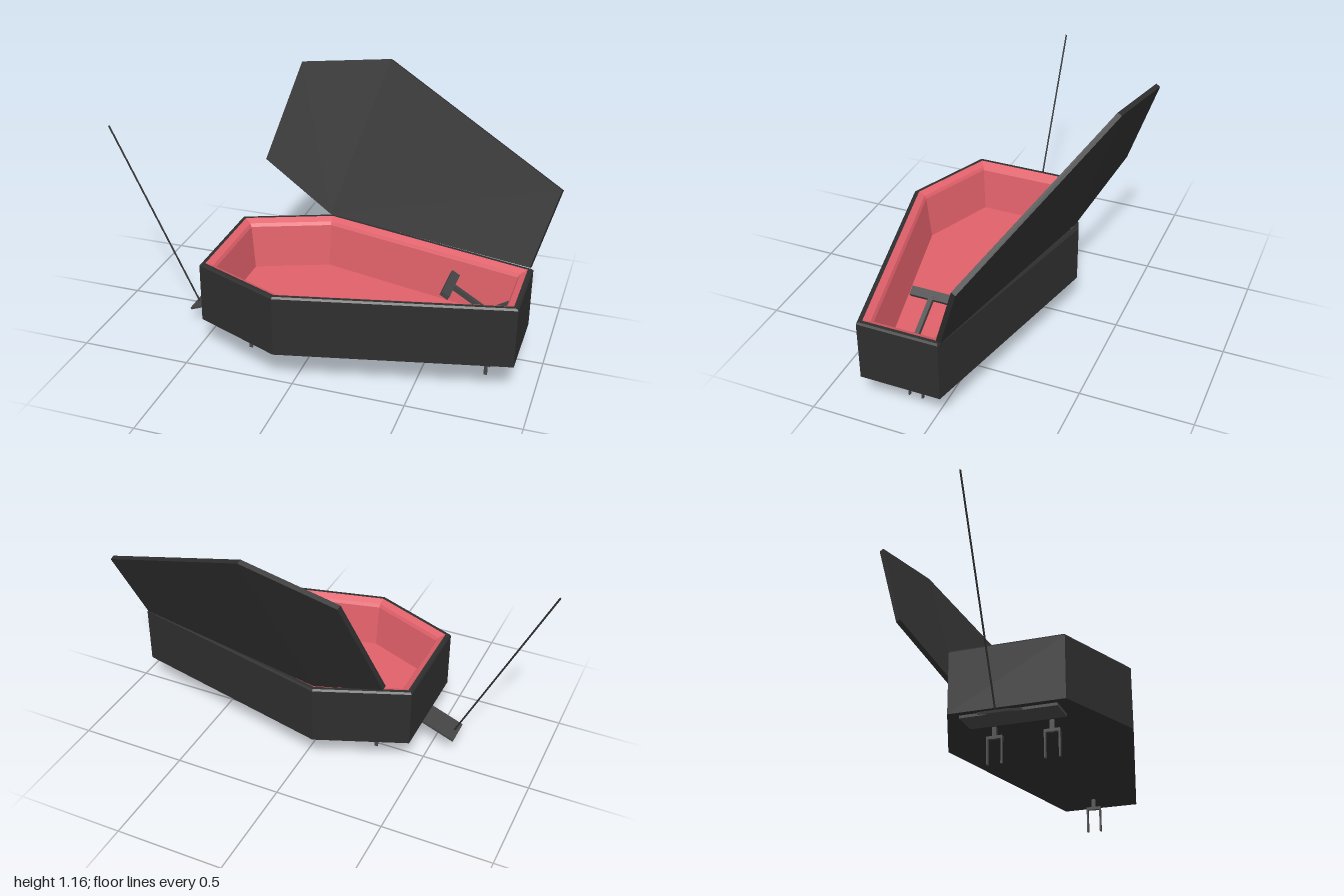
import * as THREE from 'three';

const V = (x, y, z) => new THREE.Vector3(x, y, z);
const mat = (color) => new THREE.MeshStandardMaterial({ color, side: THREE.DoubleSide });

// Flat-faced skin through a list of rings; caps are fans from the first point
function loft(rings, capStart, capEnd) {
  const pts = [];
  const n = rings[0].length;
  for (let r = 0; r < rings.length - 1; r++) {
    const a = rings[r], b = rings[r + 1];
    for (let i = 0; i < n; i++) {
      const j = (i + 1) % n;
      pts.push(a[i], b[i], a[j], a[j], b[i], b[j]);
    }
  }
  const first = rings[0], last = rings[rings.length - 1];
  for (let i = 1; i < n - 1; i++) {
    if (capStart) pts.push(first[0], first[i], first[i + 1]);
    if (capEnd) pts.push(last[0], last[i + 1], last[i]);
  }
  const g = new THREE.BufferGeometry().setFromPoints(pts);
  g.computeVertexNormals();
  return g;
}

// Six-sided footprint (x, z), moved inward by t at height y
const outline = [[-0.47, -0.12], [-0.07, -0.28], [0.915, -0.05], [0.915, 0.31], [-0.07, 0.542], [-0.47, 0.375]];
function ring(t, y) {
  const n = outline.length;
  const normal = (i) => {
    const p = outline[i % n], q = outline[(i + 1) % n];
    return new THREE.Vector2(p[1] - q[1], q[0] - p[0]).normalize();
  };
  return outline.map(([x, z], i) => {
    const a = normal(i + n - 1), b = normal(i);
    const k = t / (1 + a.dot(b));
    return V(x + (a.x + b.x) * k, y, z + (a.y + b.y) * k);
  });
}

export function createModel() {
  const model = new THREE.Group();
  const black = mat(0x2e2e2e), metal = mat(0x444444), red = mat(0xe0606a);

  const add = (name, geometry, material, parent = model) => {
    const mesh = new THREE.Mesh(geometry, material);
    mesh.name = name;
    parent.add(mesh);
    return mesh;
  };
  const box = (name, size, pos, parent = model, material = metal) => {
    const mesh = add(name, new THREE.BoxGeometry(...size), material, parent);
    mesh.position.set(...pos);
    return mesh;
  };
  // Flat plate in the xy plane from a to b, with thickness t and depth d along z
  const plate = (name, a, b, t, d, z) => {
    const dx = b[0] - a[0], dy = b[1] - a[1];
    const mesh = box(name, [Math.hypot(dx, dy), t, d], [(a[0] + b[0]) / 2, (a[1] + b[1]) / 2, z]);
    mesh.rotation.z = Math.atan2(dy, dx);
    return mesh;
  };

  // Body shell with a bevelled rim, and its padded lining
  add('body', loft([ring(0, 0.16), ring(0, 0.432), ring(0.007, 0.44), ring(0.022, 0.44)], true, false), black);
  add('lining', loft([ring(0.022, 0.44), ring(0.05, 0.425), ring(0.058, 0.41), ring(0.08, 0.21)], false, true), red);

  // Open lid, folded slightly along its ridge
  const lidBack = [
    V(-0.07, 0.448, -0.262), V(-0.438, 0.63, -0.38), V(-0.308, 1.083, -0.545),
    V(0.135, 1.153, -0.512), V(0.997, 0.77, -0.176), V(0.905, 0.44, -0.057),
  ];
  const lidDepth = V(-0.2, 0.38, 0.905).multiplyScalar(0.022);
  const lidFront = lidBack.map((p) => p.clone().add(lidDepth));
  add('lid', loft([lidBack, lidFront], true, true), black);

  // Sloping foot board and steering handle inside
  plate('footBoard', [0.72, 0.212], [0.835, 0.29], 0.012, 0.32, 0.13);
  plate('steeringColumn', [0.59, 0.4], [0.84, 0.25], 0.02, 0.02, 0.13);
  plate('steeringHandle', [0.573, 0.408], [0.607, 0.388], 0.02, 0.195, 0.13);

  // Wheel forks: one under the narrow end, two under the wide end
  for (const [x, z] of [[0.775, 0.132], [-0.275, 0.257], [-0.275, 0.01]]) {
    const fork = new THREE.Group();
    fork.name = 'wheelFork';
    fork.position.set(x, 0, z);
    model.add(fork);
    box('forkStem', [0.015, 0.055, 0.018], [0, 0.135, 0], fork);
    box('forkBridge', [0.015, 0.013, 0.068], [0, 0.115, 0], fork);
    for (const s of [-1, 1]) box('forkProng', [0.015, 0.12, 0.007], [0, 0.06, s * 0.031], fork);
  }

  // Rear step: mounting plate and down-sloping tread
  plate('stepMount', [-0.46, 0.146], [-0.335, 0.146], 0.012, 0.41, 0.132);
  plate('stepTread', [-0.615, 0.082], [-0.455, 0.146], 0.01, 0.128, 0.13);

  // Whip pole
  const from = V(-0.595, 0.088, 0.132), to = V(-0.997, 0.926, 0.132);
  const pole = add('pole', new THREE.CylinderGeometry(0.004, 0.004, from.distanceTo(to), 8), black);
  pole.position.copy(from).lerp(to, 0.5);
  pole.quaternion.setFromUnitVectors(V(0, 1, 0), to.clone().sub(from).normalize());

  return model;
}
